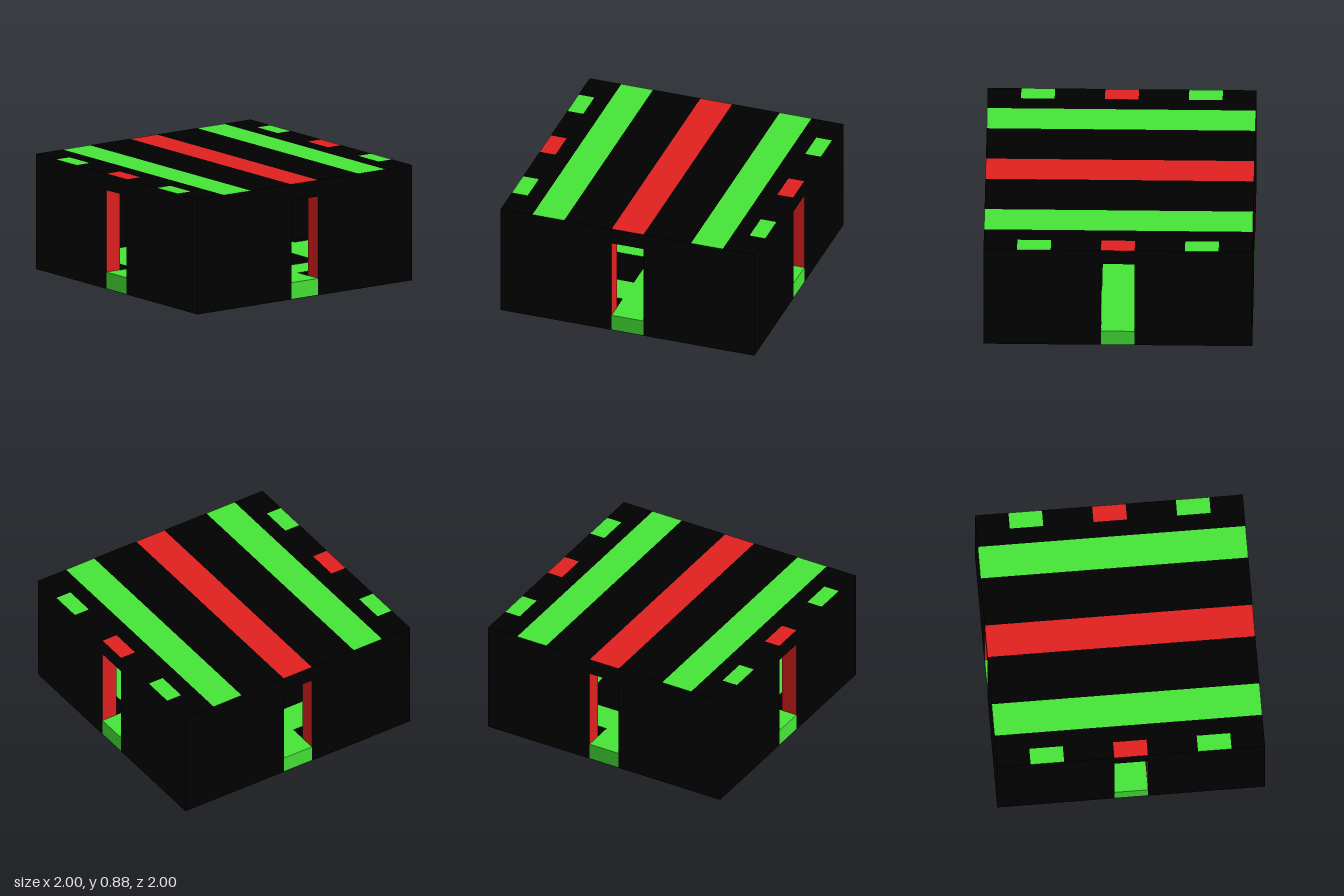
import * as THREE from 'three';

const black = new THREE.MeshStandardMaterial({ color: 0x000000 });
black.name = 'black';
const green = new THREE.MeshStandardMaterial({ color: 0x46e638 });
green.name = 'green';
const red = new THREE.MeshStandardMaterial({ color: 0xe22020 });
red.name = 'red';

const HEIGHT = 0.877, WALL = 0.125, DOOR = 0.125, LINTEL = 0.752, SKIN = 0.003;
// stripe positions shared by roof, ceiling and floor
const STRIPES = [-0.625, 0, 0.625];

// box given by its lower and upper corners
function box(name, a, b, material) {
  const size = b.map((v, i) => v - a[i]);
  const mesh = new THREE.Mesh(new THREE.BoxGeometry(...size), material);
  mesh.position.set(...a.map((v, i) => (v + b[i]) / 2));
  mesh.name = name;
  return mesh;
}

// thin painted plate with black edges
function plate(name, x0, x1, y, z0, z1, paint) {
  return box(name, [x0, y, z0], [x1, y + SKIN, z1], [black, black, paint, paint, black, black]);
}

// wall facing +z with a doorway; half is its half length
function wall(name, half) {
  const g = new THREE.Group();
  g.name = name;
  const z0 = 1 - WALL;
  // door jambs are the red faces of the piers
  g.add(box('leftPier', [DOOR, SKIN, z0], [half, HEIGHT - SKIN, 1], [black, red, black, black, black, black]));
  g.add(box('rightPier', [-half, SKIN, z0], [-DOOR, HEIGHT - SKIN, 1], [red, black, black, black, black, black]));
  g.add(box('lintel', [-DOOR, LINTEL, z0], [DOOR, HEIGHT - SKIN, 1], [black, black, black, red, black, black]));
  g.add(box('sill', [-DOOR, SKIN, z0], [DOOR, WALL + SKIN, 1], green));
  return g;
}

export function createModel() {
  const model = new THREE.Group();
  model.name = 'stripedBox';
  const inner = 1 - WALL;

  // four walls: front and back run full width, the sides fit between them
  ['frontWall', 'leftWall', 'backWall', 'rightWall'].forEach((name, i) => {
    const w = wall(name, i % 2 ? inner : 1);
    w.rotation.y = i * Math.PI / 2;
    model.add(w);
  });

  // floor and roof slabs
  model.add(box('floor', [-inner, SKIN, -inner], [inner, WALL, inner], black));
  model.add(box('roof', [-inner, LINTEL + SKIN, -inner], [inner, HEIGHT - SKIN, inner], black));

  for (const c of STRIPES) {
    const a = c - 0.125, b = c + 0.125;
    const paint = c === 0 ? red : green;

    // roof and ceiling stripes from front to back
    model.add(plate('roofStripe', a, b, HEIGHT - SKIN, -1, 1, paint));
    model.add(plate('ceilingStripe', a, b, LINTEL, -inner, inner, paint));
    // short roof tabs over the side walls
    model.add(plate('leftRoofTab', inner, 1, HEIGHT - SKIN, a, b, paint));
    model.add(plate('rightRoofTab', -1, -inner, HEIGHT - SKIN, a, b, paint));

    // crossing green stripes under and on the floor
    for (const [name, y, r] of [['baseStripe', 0, 1], ['floorStripe', WALL, inner]]) {
      model.add(plate(name, a, b, y, -r, r, green));
      model.add(plate(name, -r, r, y, a, b, green));
    }
  }

  // black fields between the stripes, level with them
  const fields = [[-1, -0.75], [-0.5, -0.125], [0.125, 0.5], [0.75, 1]];
  for (const [x0, x1] of fields) {
    for (const [z0, z1] of fields) {
      model.add(plate('baseField', x0, x1, 0, z0, z1, black));
    }
  }
  // black roof fields: full-length strips, kept clear of the side tabs
  for (const [x0, x1] of [[-inner, -0.75], [-0.5, -0.125], [0.125, 0.5], [0.75, inner]]) {
    model.add(plate('roofField', x0, x1, HEIGHT - SKIN, -1, 1, black));
  }
  for (const [z0, z1] of fields) {
    model.add(plate('leftRoofField', inner, 1, HEIGHT - SKIN, z0, z1, black));
    model.add(plate('rightRoofField', -1, -inner, HEIGHT - SKIN, z0, z1, black));
  }
  return model;
}
